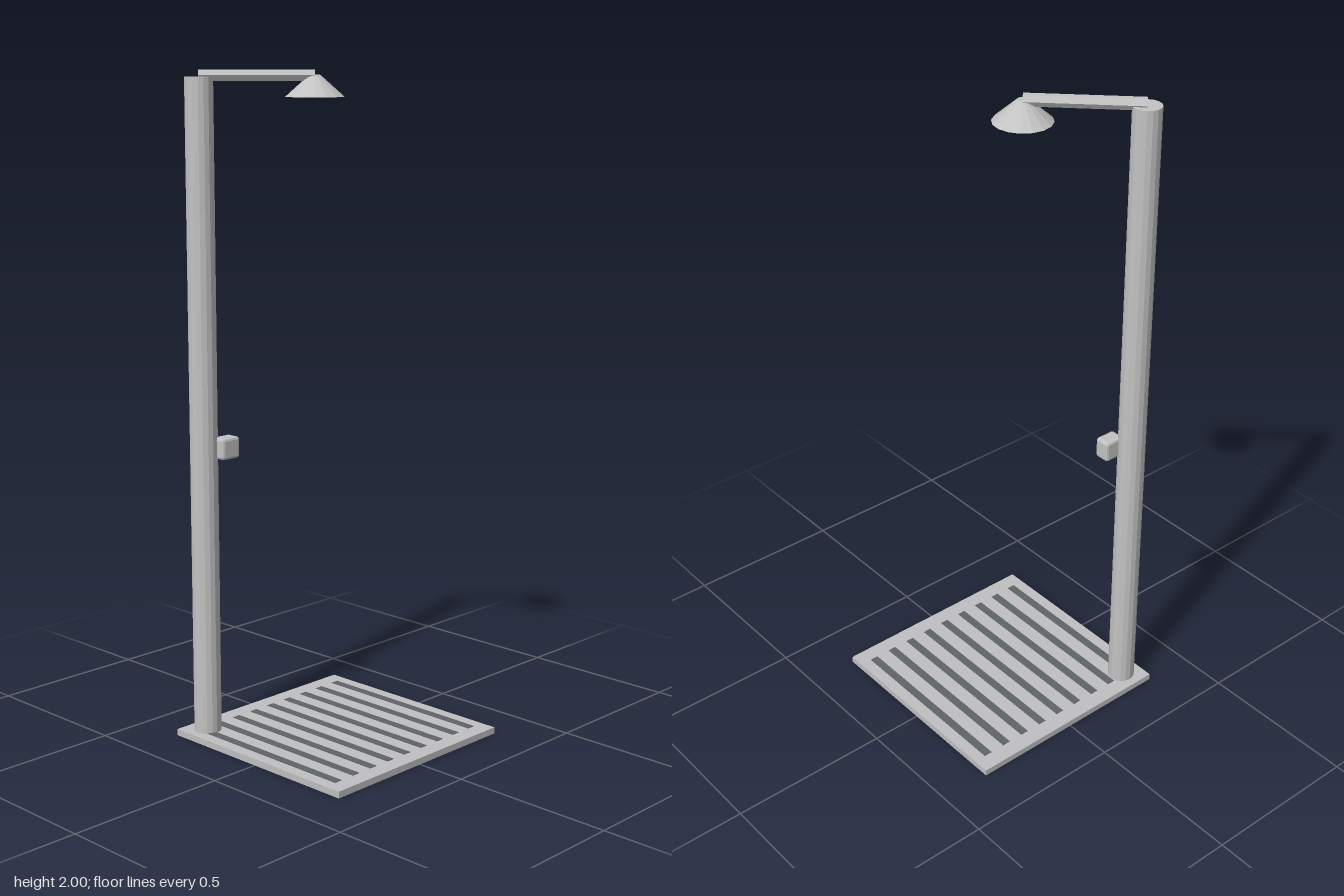
import * as THREE from 'three';
import { RoundedBoxGeometry } from 'three/addons/geometries/RoundedBoxGeometry.js';

const material = (name, color, flatShading = true) => {
  const m = new THREE.MeshStandardMaterial({ color, flatShading });
  m.name = name;
  return m;
};

export function createModel() {
  const model = new THREE.Group();
  model.name = 'outdoorShower';
  const metal = material('brushed metal', 0xc3c3c3);
  const tray = material('tray grey', 0xc0bfc1);
  const slot = material('dark slot', 0x5f6466);

  const add = (name, geometry, mat, x, y, z) => {
    const mesh = new THREE.Mesh(geometry, mat);
    mesh.name = name;
    mesh.position.set(x, y, z);
    model.add(mesh);
    return mesh;
  };

  // Floor tray with nine drain slots
  const trayTop = 0.02;
  add('tray', new THREE.BoxGeometry(0.686, trayTop, 0.686), tray, 0, trayTop / 2, 0);
  const slotGeometry = new THREE.BoxGeometry(0.026, 0.002, 0.584);
  for (let i = -4; i <= 4; i++) {
    add('drainSlot', slotGeometry, slot, i * 0.0731, trayTop + 0.0005, 0);
  }

  // Corner pole
  const pole = new THREE.Vector3(-0.277, 1.98, -0.277);
  const poleHeight = pole.y - trayTop;
  add('pole', new THREE.CylinderGeometry(0.0415, 0.0415, poleHeight, 16), metal,
    pole.x, trayTop + poleHeight / 2, pole.z);

  // Six-sided arm running diagonally from the pole to the head, flat face up
  const head = new THREE.Vector3(-0.043, 1.984, -0.043);
  const armLength = Math.hypot(head.x - pole.x, head.z - pole.z);
  const armGeometry = new THREE.CylinderGeometry(0.0183, 0.0183, armLength, 6);
  armGeometry.rotateY(Math.PI / 6);
  armGeometry.rotateX(Math.PI / 2);
  const arm = add('arm', armGeometry, metal,
    (pole.x + head.x) / 2, 1.984, (pole.z + head.z) / 2);
  arm.rotation.y = Math.PI / 4;

  // Conical shower head
  add('showerHead', new THREE.CylinderGeometry(0.016, 0.0855, 0.062, 16), metal,
    head.x, 1.954, head.z);

  // Push button with bevelled edges
  add('button', new RoundedBoxGeometry(0.067, 0.065, 0.05, 1, 0.008), metal,
    -0.226, 0.899, -0.236);

  return model;
}
